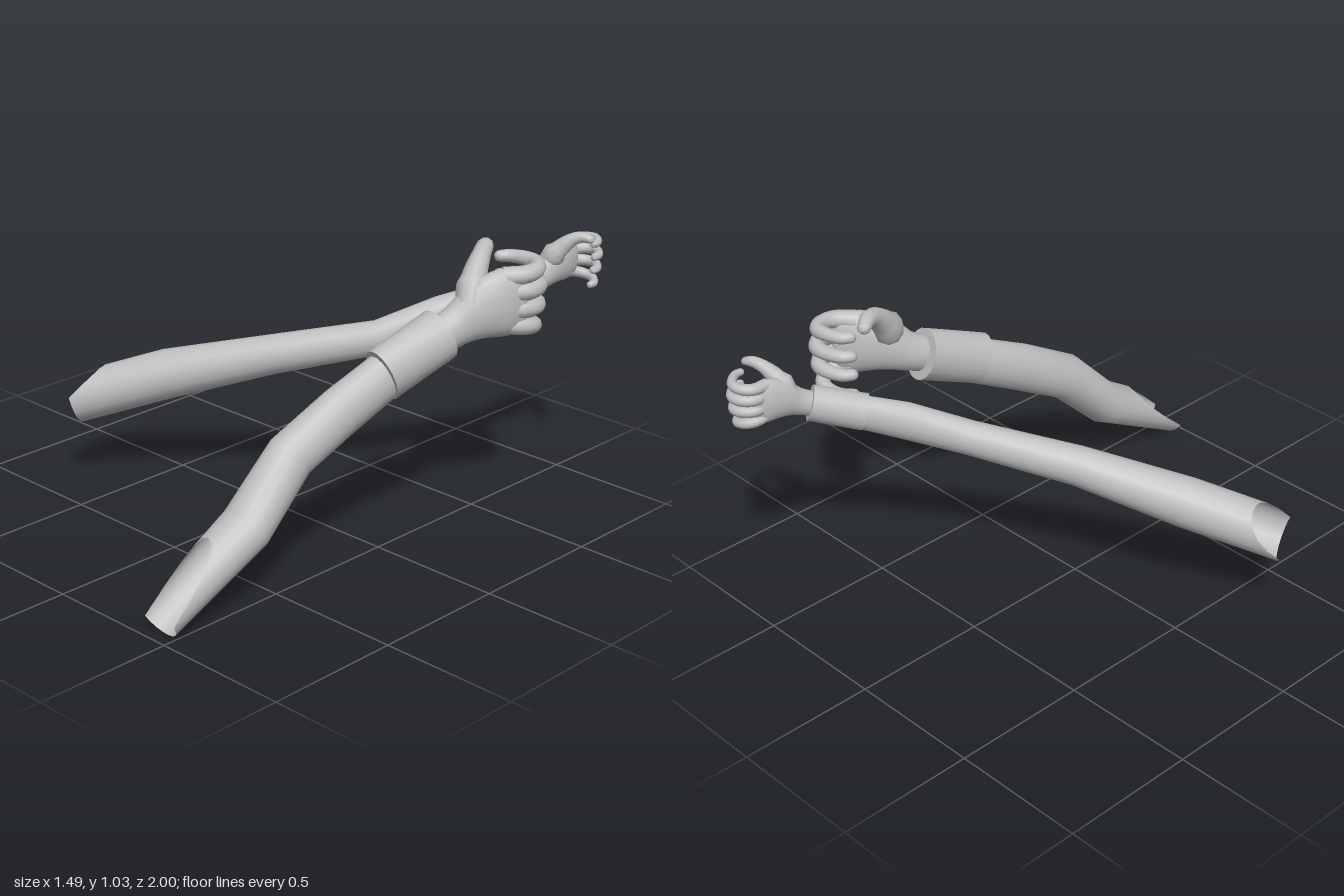
import * as THREE from 'three';
import { toCreasedNormals } from 'three/addons/utils/BufferGeometryUtils.js';

const UP = new THREE.Vector3(0, 1, 0);
const skin = new THREE.MeshStandardMaterial({ color: 0xbfbfbf, side: THREE.DoubleSide });
skin.name = 'plain grey';

// Skin over oval sections [x, y, z, halfWidth, halfHeight].
// cut(cos, sin) slides points of the open first ring along the limb; round closes the far end with a dome.
function sweep(name, sections, { sides = 18, cut = null, round = false, crease = 1.1 } = {}) {
  const centres = sections.map(s => new THREE.Vector3(s[0], s[1], s[2]));
  const rings = sections.map((s, i) => {
    const t = centres[Math.min(i + 1, centres.length - 1)].clone()
      .sub(centres[Math.max(i - 1, 0)]).normalize();
    return { c: centres[i], t, w: s[3], h: s[4] };
  });
  const last = rings[rings.length - 1];
  const r = Math.min(last.w, last.h);
  if (round) {
    for (const a of [0.45, 0.9, 1.25]) {
      rings.push({
        c: last.c.clone().addScaledVector(last.t, r * Math.sin(a)), t: last.t,
        w: last.w * Math.cos(a), h: last.h * Math.cos(a)
      });
    }
  }
  const pos = [], index = [];
  rings.forEach(({ c, t, w, h }, i) => {
    const side = t.clone().cross(UP).normalize();
    const up = side.clone().cross(t);
    for (let j = 0; j < sides; j++) {
      const a = j / sides * Math.PI * 2, cs = Math.cos(a), sn = Math.sin(a);
      const p = c.clone().addScaledVector(side, w * cs).addScaledVector(up, h * sn);
      if (i === 0 && cut) p.addScaledVector(t, cut(cs, sn));
      pos.push(p.x, p.y, p.z);
      if (i + 1 < rings.length) {
        const k = (j + 1) % sides, o = i * sides, n = o + sides;
        index.push(o + j, n + j, o + k, o + k, n + j, n + k);
      }
    }
  });
  if (round) {
    const tip = last.c.clone().addScaledVector(last.t, r);
    const o = (rings.length - 1) * sides;
    pos.push(tip.x, tip.y, tip.z);
    for (let j = 0; j < sides; j++) index.push(o + j, o + sides, o + (j + 1) % sides);
  }
  const geo = new THREE.BufferGeometry();
  geo.setAttribute('position', new THREE.Float32BufferAttribute(pos, 3));
  geo.setIndex(index);
  const mesh = new THREE.Mesh(toCreasedNormals(geo, crease), skin);
  mesh.name = name;
  return mesh;
}

// Smoothly resample sections along a curve
function smooth(sections, n) {
  const mid = new THREE.CatmullRomCurve3(sections.map(s => new THREE.Vector3(s[0], s[1], s[2])));
  const rad = new THREE.CatmullRomCurve3(sections.map(s => new THREE.Vector3(s[3], s[4], 0)));
  return Array.from({ length: n + 1 }, (_, i) => {
    const p = mid.getPoint(i / n), q = rad.getPoint(i / n);
    return [p.x, p.y, p.z, q.x, q.y];
  });
}

// Curled hand: palm, thumb on top and four fingers; place() maps each section to its arm
function makeHand(name, place) {
  const hand = new THREE.Group();
  hand.name = name;
  const add = (part, sections, n, sides) =>
    hand.add(sweep(part, smooth(sections.map(place), n), { sides, round: true, crease: 1.4 }));

  add('palm', [
    [0.582, 0.75, -0.18, 0.06, 0.065], [0.605, 0.785, -0.26, 0.058, 0.075],
    [0.645, 0.83, -0.34, 0.06, 0.108], [0.685, 0.85, -0.41, 0.052, 0.122],
    [0.71, 0.855, -0.46, 0.034, 0.11]
  ], 12, 18);

  add('thumb', [
    [0.63, 0.85, -0.29, 0.045, 0.05], [0.6, 0.93, -0.35, 0.045, 0.05],
    [0.575, 0.99, -0.415, 0.034, 0.036], [0.55, 1.008, -0.465, 0.03, 0.03],
    [0.525, 1.0, -0.5, 0.024, 0.022]
  ], 12, 10);

  const curl = [[0.68, -0.41], [0.73, -0.475], [0.728, -0.535], [0.69, -0.578],
    [0.635, -0.58], [0.58, -0.56], [0.56, -0.535]];
  const fingers = [
    ['indexFinger', 0.94, 0.96, 0.97], ['middleFinger', 0.885, 0.89, 1.02],
    ['ringFinger', 0.825, 0.815, 1], ['littleFinger', 0.77, 0.73, 0.93]
  ];
  for (const [part, yRoot, yTip, size] of fingers) {
    add(part, curl.map(([x, z], i) => {
      const f = i / (curl.length - 1), r = (0.036 - 0.015 * f) * size;
      return [0.68 + (x - 0.68) * size, yRoot + (yTip - yRoot) * Math.min(1, f * 1.6),
        -0.41 + (z + 0.41) * size, r, r];
    }), 16, 10);
  }
  return hand;
}

// Wrist band with stepped rims
function makeCuff(a, b, ra, rb) {
  return sweep('cuff', [
    [...a, ra[0] * 0.86, ra[1] * 0.86], [...a, ...ra], [...b, ...rb], [...b, rb[0] * 0.65, rb[1] * 0.65]
  ], { crease: 0.7 });
}

function makeArm(name, sections, cut, cuff, place) {
  const arm = new THREE.Group();
  arm.name = name;
  arm.add(sweep('sleeve', sections, { cut }), makeCuff(...cuff), makeHand('hand', place));
  return arm;
}

export function createModel() {
  const model = new THREE.Group();
  model.name = 'armPair';

  // Left arm, bent at the elbow
  model.add(makeArm('leftArm', [
    [0.445, 0.072, 0.978, 0.083, 0.075], [0.464, 0.275, 0.6, 0.093, 0.083],
    [0.47, 0.465, 0.405, 0.08, 0.088], [0.503, 0.575, 0.2, 0.071, 0.09],
    [0.535, 0.665, 0.01, 0.067, 0.086], [0.55, 0.7, -0.06, 0.062, 0.08]
  ], (c, s) => 0.3 * Math.pow(Math.max(0, s * 0.98 - c * 0.2), 0.6),
  [[0.535, 0.665, 0.035], [0.578, 0.76, -0.205], [0.077, 0.097], [0.088, 0.096]],
  s => s));

  // Right arm, reaching across; its hand is the mirrored, smaller and turned left one
  const turn = THREE.MathUtils.degToRad(35), size = 0.66;
  const place = ([x, y, z, w, h]) => {
    const dx = -(x - 0.58) * size, dz = (z + 0.22) * size;
    return [0.545 + dx * Math.cos(turn) - dz * Math.sin(turn), 0.812 + (y - 0.77) * size,
      -0.76 + dx * Math.sin(turn) + dz * Math.cos(turn), w * size, h * size];
  };
  model.add(makeArm('rightArm', [
    [-0.695, 0.325, 0.345, 0.085, 0.092], [-0.42, 0.438, 0.13, 0.088, 0.092],
    [-0.1, 0.54, -0.085, 0.068, 0.073], [0.2, 0.622, -0.315, 0.055, 0.064],
    [0.345, 0.702, -0.485, 0.05, 0.07], [0.44, 0.75, -0.61, 0.048, 0.062]
  ], (c, s) => 0.15 * Math.pow(Math.max(0, s * 0.87 - c * 0.5), 0.6),
  [[0.428, 0.748, -0.595], [0.532, 0.803, -0.745], [0.056, 0.068], [0.06, 0.064]],
  place));

  return model;
}
